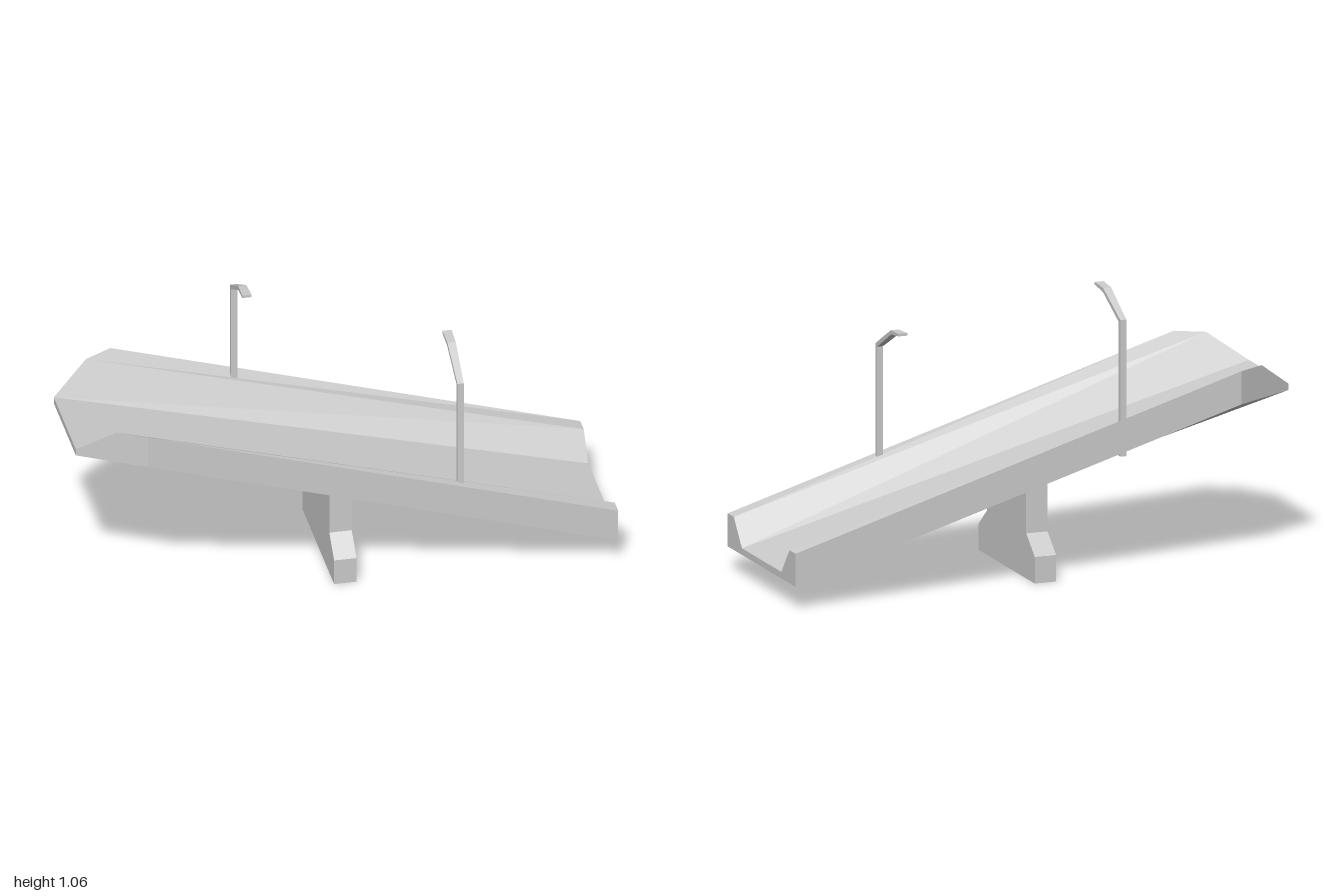
import * as THREE from 'three';

const material = new THREE.MeshStandardMaterial({ color: 0xcccccc, flatShading: true });

// Extrudes an outline by 1 along z, then moves every vertex by a rule (z runs 0..1).
function shaped(name, outline, rule) {
  const shape = new THREE.Shape(outline.map(([x, y]) => new THREE.Vector2(x, y)));
  const geometry = new THREE.ExtrudeGeometry(shape, { depth: 1, bevelEnabled: false, steps: 1 });
  const pos = geometry.attributes.position;
  for (let i = 0; i < pos.count; i++) {
    pos.setXYZ(i, ...rule(pos.getX(i), pos.getY(i), pos.getZ(i)));
  }
  geometry.computeVertexNormals();
  const mesh = new THREE.Mesh(geometry, material);
  mesh.name = name;
  return mesh;
}

// Adds the mirrored half to a right-hand outline listed from bottom to top.
const mirrored = (half) => [...half, ...half.map(([x, y]) => [-x, y]).reverse()];

export function createModel() {
  const group = new THREE.Group();
  group.name = 'bridgeSection';

  // Sloping road deck with parapets; the high front end is cut back at both corners
  const road = 0.193;
  const deckOutline = mirrored([[road, 0], [0.332, 0], [0.332, 0.125], [0.272, 0.125], [road, 0.025]]);
  const frontEnd = (x) => 1.058 - Math.max(0, Math.abs(x) - road) * Math.sqrt(3);
  group.add(shaped('roadDeck', deckOutline, (x, y, t) =>
    [x, y + THREE.MathUtils.lerp(0.09, 0.615, t), t > 0.5 ? frontEnd(x) : -0.942]));

  // Pier with a wider stepped footing
  const pierOutline = mirrored([[0.275, 0], [0.275, 0.1], [0.191, 0.17], [0.191, 0.362]]);
  group.add(shaped('pier', pierOutline, (x, y, t) => [x, y, 0.025 + t * 0.084]));

  // Street lamps: post and bent arm that widens towards the tip
  const lampOutline = [
    [-0.008, 0], [0.008, 0], [0.008, 0.505], [0.155, 0.585],
    [0.23, 0.595], [0.23, 0.605], [0.15, 0.6], [-0.008, 0.515],
  ];
  for (const [name, side, y, z] of [['rightLamp', -1, 0.455, 0.362], ['leftLamp', 1, 0.295, -0.358]]) {
    const lamp = shaped(name, lampOutline, (x, h, t) =>
      [x, h, (t - 0.5) * (0.024 + 0.05 * Math.max(0, x - 0.008))]);
    lamp.position.set(side * 0.297, y, z);
    lamp.rotation.y = side > 0 ? Math.PI : 0;
    group.add(lamp);
  }

  // The whole section stands at an angle
  group.rotation.y = -Math.PI / 6;
  group.position.set(-0.033, 0, -0.019);
  const model = new THREE.Group();
  model.name = 'brokenBridge';
  model.add(group);
  return model;
}
